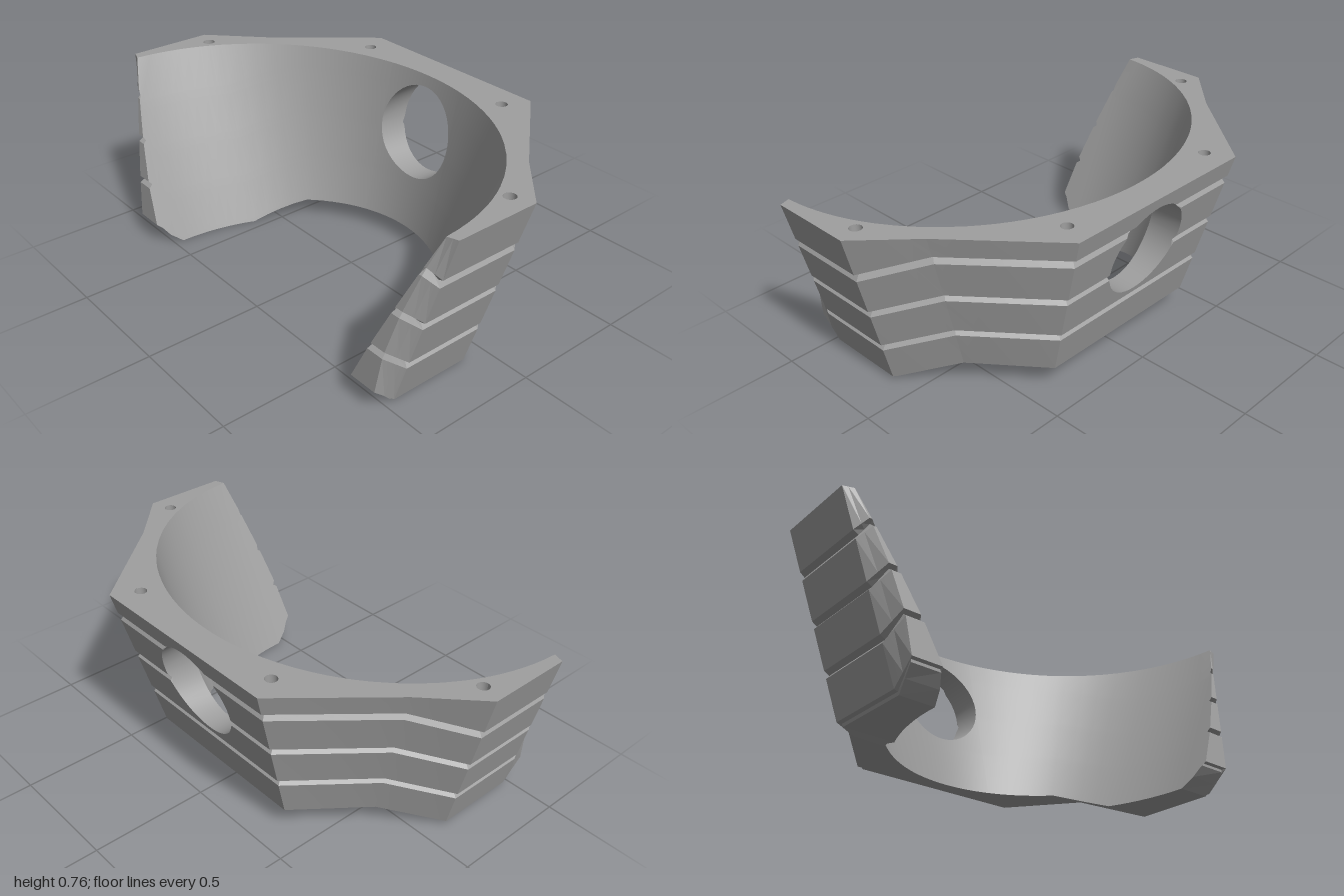
import * as THREE from 'three';
import { toCreasedNormals } from 'three/addons/utils/BufferGeometryUtils.js';

const TOP = 0.76, HOLE_Y = 0.51, HOLE_R = 0.2, INSET = 0.022;
const { lerp, clamp } = THREE.MathUtils;
const V = (x, y, z) => new THREE.Vector3(x, y, z);

// Band profile from top to bottom: [height, inset]
const LEVELS = [[0.76, 0], [0.59, 0], [0.58, 1], [0.555, 0], [0.395, 0], [0.385, 1], [0.365, 0],
  [0.205, 0], [0.195, 1], [0.175, 0], [0.015, 0], [0.012, 0.8], [0, 0.8]];

// Outer corners from the round hole to the front: top [x,z], bottom [x,z], band lift, inset direction
const CORNERS = [
  { top: [0.2, -0.555], bot: [0.2, -0.355], lift: 0.083, dir: [0, 1] },
  { top: [0.45, -0.555], bot: [0.378, -0.355], lift: 0.083, dir: [-0.5, 1] },
  { top: [0.79, -0.16], bot: [0.58, -0.095], lift: 0.083, dir: [-0.7, 0.7] },
  { top: [1, 0.04], bot: [0.785, 0.115], lift: 0, dir: [-1, 0.3] },
  { top: [1, 0.4], bot: [0.785, 0.465], lift: 0, dir: [-1, -0.2] },
];
const FRONT = CORNERS.length;

// Front tip curve
const tip = (y) => Math.max(0, (y - 0.1) / 0.66);
const tipX = (y) => 0.79 + 0.167 * tip(y) ** 1.5;
const tipZ = (y) => 0.56 - 0.145 * tip(y) ** 1.4;

function outerCorner(c, j) {
  const [y0, inset] = LEVELS[j];
  const d = inset * INSET;
  if (c === FRONT) {
    const y = j ? y0 + 0.085 * (1 - 0.8 * y0) : y0;
    return V(tipX(y) - 0.5 * d, y, tipZ(y) - d);
  }
  const { top, bot, lift, dir } = CORNERS[c];
  const y = j ? y0 + lift : y0, t = (TOP - y) / TOP;
  return V(lerp(top[0], bot[0], t) + dir[0] * d, y, lerp(top[1], bot[1], t) + dir[1] * d);
}

// Station: s runs along the corners, x is used inside the hole span
function outerColumn({ s, x }) {
  const c = Math.min(Math.floor(s), FRONT - 1);
  return LEVELS.map((_, j) => {
    const p = outerCorner(c, j).lerp(outerCorner(c + 1, j), s - c);
    if (s === 0) p.x = x;
    return p;
  });
}

// Inner elliptical cone
const radX = (y) => 0.62 + 0.443 * y;
const radZ = (y) => 0.734 + 0.193 * y;
function inner({ s, x }, y) {
  if (s > 4) return inner({ s: 4 }, y).lerp(V(radX(y), y, tipZ(y)), s - 4);
  const angles = [Math.asin((x ?? HOLE_R) / radX(y)), 0.5, 0.728, 1.09,
    Math.acos(Math.max(0, (0.47 - tipZ(y)) / radZ(y)))];
  const c = Math.min(Math.floor(s), 3);
  const a = lerp(angles[c], angles[c + 1], s - c);
  return V(radX(y) * Math.sin(a), y, 0.46 - radZ(y) * Math.cos(a));
}

// Height of the underside at a depth
const underside = (z) => z > 0.465 ? 0.085 * (z - 0.465) / 0.095 : 0.083 * clamp((0.12 - z) / 0.22, 0, 1);

function innerColumn(st, outer) {
  let yb = 0.05;
  for (let i = 0; i < 10; i++) yb = underside(inner(st, yb).z);
  if (st.s === FRONT) yb = outer[outer.length - 1].y;
  const k = (TOP - yb) / (TOP - outer[outer.length - 1].y);
  const front = inner.bind(null, st);
  return outer.map((p, j) => {
    const q = front(TOP - (TOP - p.y) * k);
    if (st.s === FRONT) q.z -= LEVELS[j][1] * INSET;
    return q;
  });
}

// Point on a column at a given height
function atHeight(col, y) {
  for (let j = 1; j < col.length; j++) {
    if (col[j].y <= y) {
      return col[j - 1].clone().lerp(col[j], (col[j - 1].y - y) / (col[j - 1].y - col[j].y));
    }
  }
  return col[col.length - 1].clone();
}
const above = (col, y) => col.map((p) => (p.y < y ? atHeight(col, y) : p));
const below = (col, y) => col.map((p) => (p.y > y ? atHeight(col, y) : p));

// Surface between neighbouring columns of points
function strip(out, cols, flip = false) {
  const tri = (a, b, c) => {
    const area = b.clone().sub(a).cross(c.clone().sub(a)).length();
    if (area > 1e-8) for (const p of flip ? [a, c, b] : [a, b, c]) out.push(p.x, p.y, p.z);
  };
  for (let i = 0; i + 1 < cols.length; i++) {
    for (let j = 0; j + 1 < cols[i].length; j++) {
      const a = cols[i][j], b = cols[i + 1][j], c = cols[i][j + 1], d = cols[i + 1][j + 1];
      tri(a, b, c);
      tri(b, d, c);
    }
  }
}

export function createModel() {
  const group = new THREE.Group();
  const grey = new THREE.MeshStandardMaterial({ color: 0x9f9f9f });
  grey.name = 'grey';
  const add = (name, geo) => {
    const m = new THREE.Mesh(geo, grey);
    m.name = name;
    group.add(m);
    return m;
  };
  const addStrips = (name, pos, crease) => {
    const g = new THREE.BufferGeometry();
    g.setAttribute('position', new THREE.Float32BufferAttribute(pos, 3));
    add(name, toCreasedNormals(g, crease));
  };

  // Stations across the hole, then along each side
  const build = (st) => {
    const o = outerColumn(st);
    return { x: st.x, o, n: innerColumn(st, o) };
  };
  const mirror = (col) => col.map((p) => V(-p.x, p.y, p.z));
  const holeCols = [];
  for (let i = -12; i <= 12; i++) holeCols.push(build({ s: 0, x: HOLE_R * Math.sin(i * Math.PI / 24) }));
  const right = [build({ s: 0, x: HOLE_R })];
  [4, 4, 4, 8, 2].forEach((n, c) => {
    for (let i = 1; i <= n; i++) right.push(build({ s: c + i / n }));
  });
  const left = right.map(({ o, n }) => ({ o: mirror(o), n: mirror(n) })).reverse();

  // Shell walls, split above and below the round hole
  const outerPos = [], innerPos = [], rimPos = [], tipPos = [], borePos = [];
  for (const side of [left, right]) {
    strip(outerPos, side.map((c) => c.o));
    strip(innerPos, side.map((c) => c.n), true);
  }
  for (const [cut, sign] of [[above, 1], [below, -1]]) {
    const cols = holeCols.map(({ x, o, n }) => {
      const y = HOLE_Y + sign * Math.sqrt(Math.max(0, HOLE_R ** 2 - x * x));
      return { o: cut(o, y), n: cut(n, y), bore: [atHeight(o, y), atHeight(n, y)] };
    });
    strip(outerPos, cols.map((c) => c.o));
    strip(innerPos, cols.map((c) => c.n), true);
    strip(borePos, cols.map((c) => c.bore), sign < 0);
  }
  const all = [...left, ...holeCols.slice(1, -1), ...right];
  strip(rimPos, all.map(({ o, n }) => [o[o.length - 1], n[n.length - 1]]));
  const first = all[0], last = all[all.length - 1];
  strip(tipPos, [last.o, last.n]);
  strip(tipPos, [first.n, first.o]);
  addStrips('bandedOuterShell', outerPos, 0.1);
  addStrips('innerWall', innerPos, 0.6);
  addStrips('undersideRim', rimPos, 0.1);
  addStrips('frontTips', tipPos, 0.1);
  addStrips('roundHoleBore', borePos, 0.8);

  // Flat top with four screw holes
  const ring = [...all.map((c) => c.o[0]), ...all.slice(1, -1).map((c) => c.n[0]).reverse()];
  const shape = new THREE.Shape(ring.map((p) => new THREE.Vector2(p.x, -p.z)));
  const R = 0.025, DEPTH = 0.05;
  for (const sx of [-1, 1]) {
    for (const [x, z] of [[0.395, -0.445], [0.912, 0.073]]) {
      shape.holes.push(new THREE.Path().absarc(sx * x, -z, R, 0, Math.PI * 2, true));
      const wall = new THREE.CylinderGeometry(R, R, DEPTH, 24, 1, true);
      wall.index.array.reverse();
      add('screwHoleWall', wall).position.set(sx * x, TOP - DEPTH / 2, z);
      add('screwHoleFloor', new THREE.CircleGeometry(R, 24).rotateX(-Math.PI / 2))
        .position.set(sx * x, TOP - DEPTH, z);
    }
  }
  const topGeo = new THREE.ShapeGeometry(shape, 24).rotateX(-Math.PI / 2);
  add('topFace', topGeo).position.y = TOP;
  // Inward-facing normals for the screw hole walls
  group.children.filter((m) => m.name === 'screwHoleWall').forEach((m) => m.geometry.computeVertexNormals());
  return group;
}
